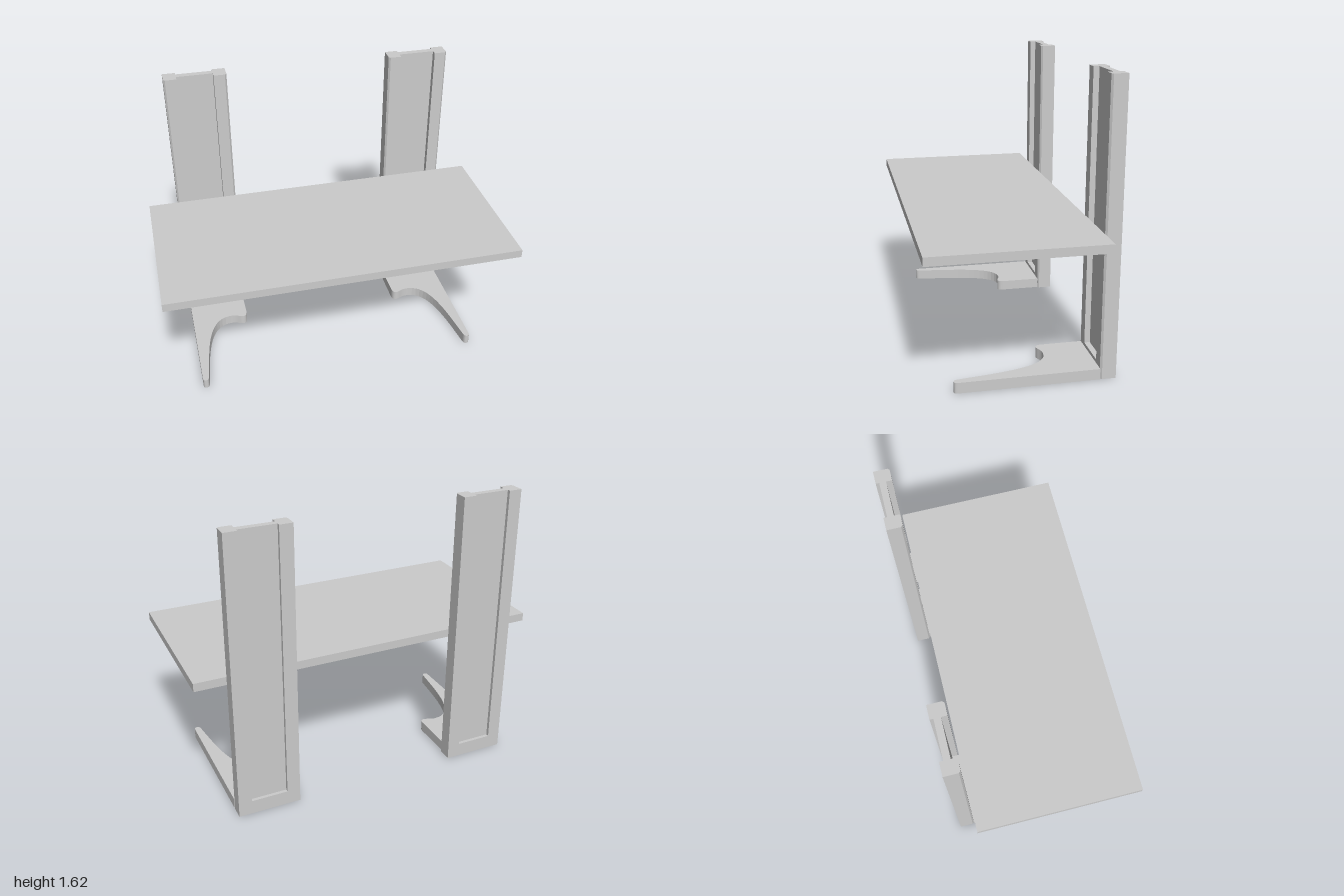
import * as THREE from 'three';

const material = new THREE.MeshStandardMaterial({ color: 0xcccccc });

// Extrude a plan outline (x, z) vertically from y0 to y1
function slab(name, shape, y0, y1) {
  const geo = new THREE.ExtrudeGeometry(shape, { depth: y1 - y0, bevelEnabled: false, curveSegments: 16 });
  geo.rotateX(Math.PI / 2).translate(0, y1, 0);
  const mesh = new THREE.Mesh(geo, material);
  mesh.name = name;
  return mesh;
}

function box(name, w, h, d, x, y, z) {
  const mesh = new THREE.Mesh(new THREE.BoxGeometry(w, h, d), material);
  mesh.position.set(x, y, z);
  mesh.name = name;
  return mesh;
}

function outline(side, points) {
  return new THREE.Shape(points.map(([x, z]) => new THREE.Vector2(side * x, z)));
}

// Column: H-like profile with a channel in the front and the back
function column(side) {
  const group = new THREE.Group();
  group.name = 'column';
  const full = [[0.476, -0.517], [0.83, -0.517], [0.83, -0.44], [0.82, -0.43], [0.486, -0.43], [0.476, -0.44]];
  const channelled = [
    [0.476, -0.517], [0.55, -0.517], [0.55, -0.498], [0.756, -0.498], [0.756, -0.517], [0.83, -0.517],
    [0.83, -0.44], [0.82, -0.43], [0.756, -0.43], [0.756, -0.462], [0.55, -0.462], [0.55, -0.43],
    [0.486, -0.43], [0.476, -0.44],
  ];
  group.add(
    slab('columnBase', outline(side, full), 0, 0.08),
    slab('columnProfile', outline(side, channelled), 0.08, 1.615),
  );
  return group;
}

// Foot: straight outer edge, inner side swept in to a slim rounded toe
function foot(side) {
  const s = new THREE.Shape();
  const X = (x) => side * x;
  s.moveTo(X(0.83), -0.43);
  s.lineTo(X(0.83), 0.33);
  s.quadraticCurveTo(X(0.83), 0.35, X(0.812), 0.35);
  s.quadraticCurveTo(X(0.795), 0.35, X(0.793), 0.325);
  s.bezierCurveTo(X(0.765), 0.1, X(0.745), -0.17, X(0.6), -0.18);
  s.bezierCurveTo(X(0.55), -0.185, X(0.54), -0.16, X(0.51), -0.16);
  s.quadraticCurveTo(X(0.487), -0.165, X(0.487), -0.195);
  s.lineTo(X(0.487), -0.43);
  return slab('foot', s, 0, 0.06);
}

// Bracket: box tapered towards the front and towards its underside
function bracket(side) {
  const geo = new THREE.BoxGeometry(1, 1, 1);
  const p = geo.attributes.position;
  for (let i = 0; i < p.count; i++) {
    const top = p.getY(i) > 0;
    const front = p.getZ(i) > 0;
    const half = (front ? 0.04 : 0.105) - (top ? 0 : 0.012);
    p.setXYZ(i,
      side * 0.653 + Math.sign(p.getX(i)) * half,
      top ? 0.768 : 0.745,
      front ? (top ? 0.44 : 0.42) : -0.464);
  }
  geo.computeVertexNormals();
  const mesh = new THREE.Mesh(geo, material);
  mesh.name = 'bracket';
  return mesh;
}

export function createModel() {
  const model = new THREE.Group();
  model.name = 'desk';
  model.add(box('deskTop', 2, 0.047, 0.939, 0, 0.79, 0.0475));
  for (const side of [-1, 1]) {
    const leg = new THREE.Group();
    leg.name = side > 0 ? 'leftLeg' : 'rightLeg';
    leg.add(column(side), foot(side), bracket(side));
    model.add(leg);
  }
  return model;
}
